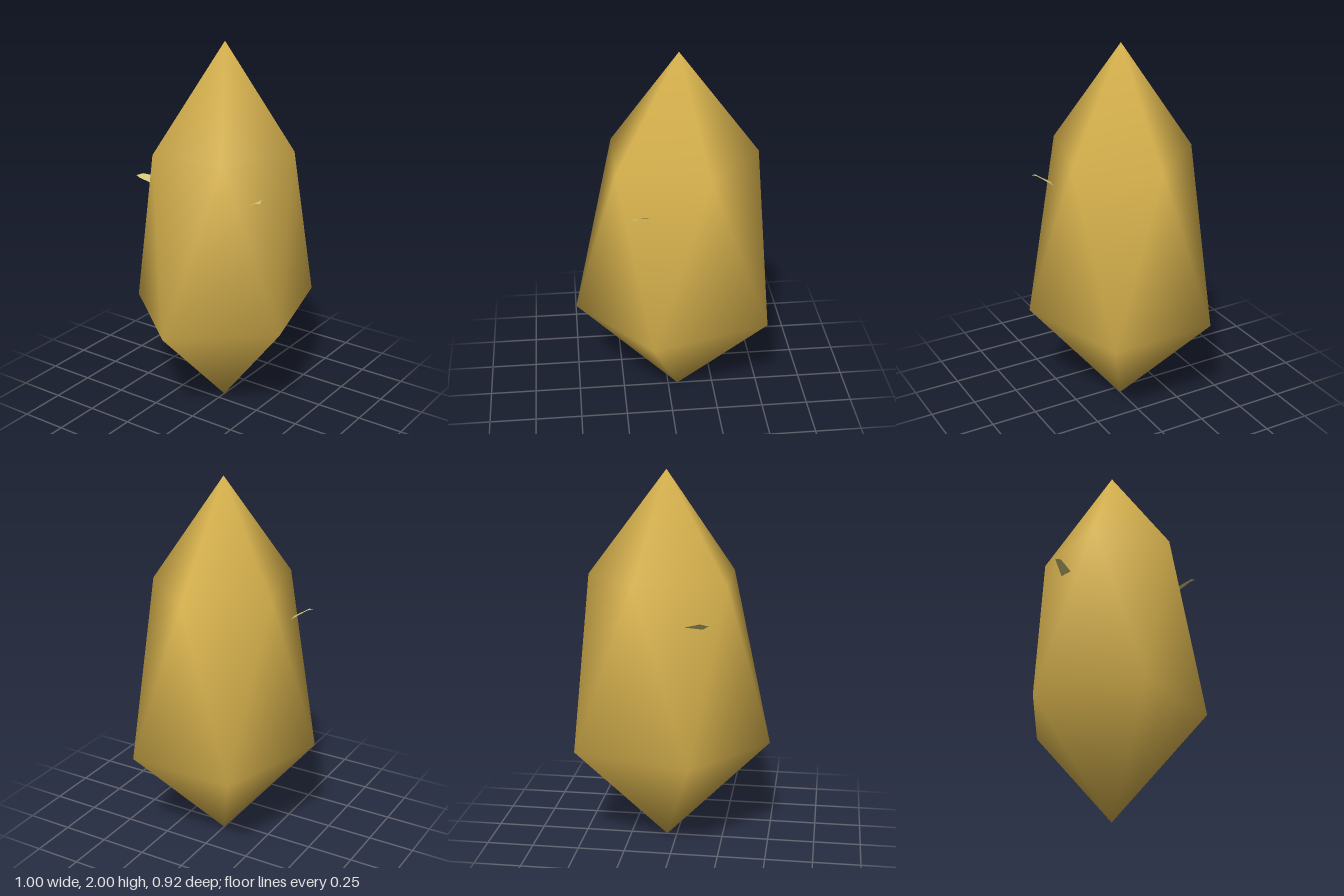
import * as THREE from 'three';

const SIDES = 5;
const CENTRE_X = 0.053;

const gold = new THREE.MeshStandardMaterial({ color: 0xdcb64f });
gold.name = 'gold';
const paleYellow = new THREE.MeshStandardMaterial({ color: 0xddd080, side: THREE.DoubleSide });
paleYellow.name = 'pale yellow';

function meshFrom(name, points, faces, material) {
  const geometry = new THREE.BufferGeometry();
  geometry.setAttribute('position', new THREE.Float32BufferAttribute(points.flat(), 3));
  geometry.setIndex(faces.flat());
  geometry.computeVertexNormals();
  const mesh = new THREE.Mesh(geometry, material);
  mesh.name = name;
  return mesh;
}

// One pentagon of the crystal, slightly squashed in z
function ring(radius, y, turn) {
  return Array.from({ length: SIDES }, (_, i) => {
    const a = ((i + turn) / SIDES) * Math.PI * 2;
    return [CENTRE_X + radius * Math.cos(a), y, 0.875 * radius * Math.sin(a)];
  });
}

// Smooth-shaded crystal: two pentagons turned half a step, with a point at each end
function crystal() {
  const points = [
    ...ring(0.413, 1.45, 0),
    ...ring(0.553, 0.56, 0.5),
    [CENTRE_X, 2, 0],
    [CENTRE_X, 0, 0],
  ];
  const top = SIDES * 2, bottom = top + 1;
  const faces = [];
  for (let i = 0; i < SIDES; i++) {
    const next = (i + 1) % SIDES;
    const low = SIDES + i, lowNext = SIDES + next;
    faces.push([top, next, i], [i, next, low], [next, lowNext, low], [bottom, low, lowNext]);
  }
  return meshFrom('crystalBody', points, faces, gold);
}

// Thin shard rising outwards from the side of the crystal
function shard(name, side) {
  const points = [
    [-0.08, 1.26, 0.318],
    [-0.17, 1.246, 0.293],
    [-0.212, 1.284, 0.358],
    [-0.202, 1.289, 0.385],
    [-0.165, 1.292, 0.37],
  ].map(([x, y, z]) => [x, y, z * side]);
  const faces = [[0, 1, 4], [1, 2, 4], [2, 3, 4]];
  return meshFrom(name, points, side > 0 ? faces : faces.map((f) => f.reverse()), paleYellow);
}

export function createModel() {
  const group = new THREE.Group();
  group.name = 'crystal';
  group.add(crystal(), shard('frontShard', 1), shard('backShard', -1));
  return group;
}
